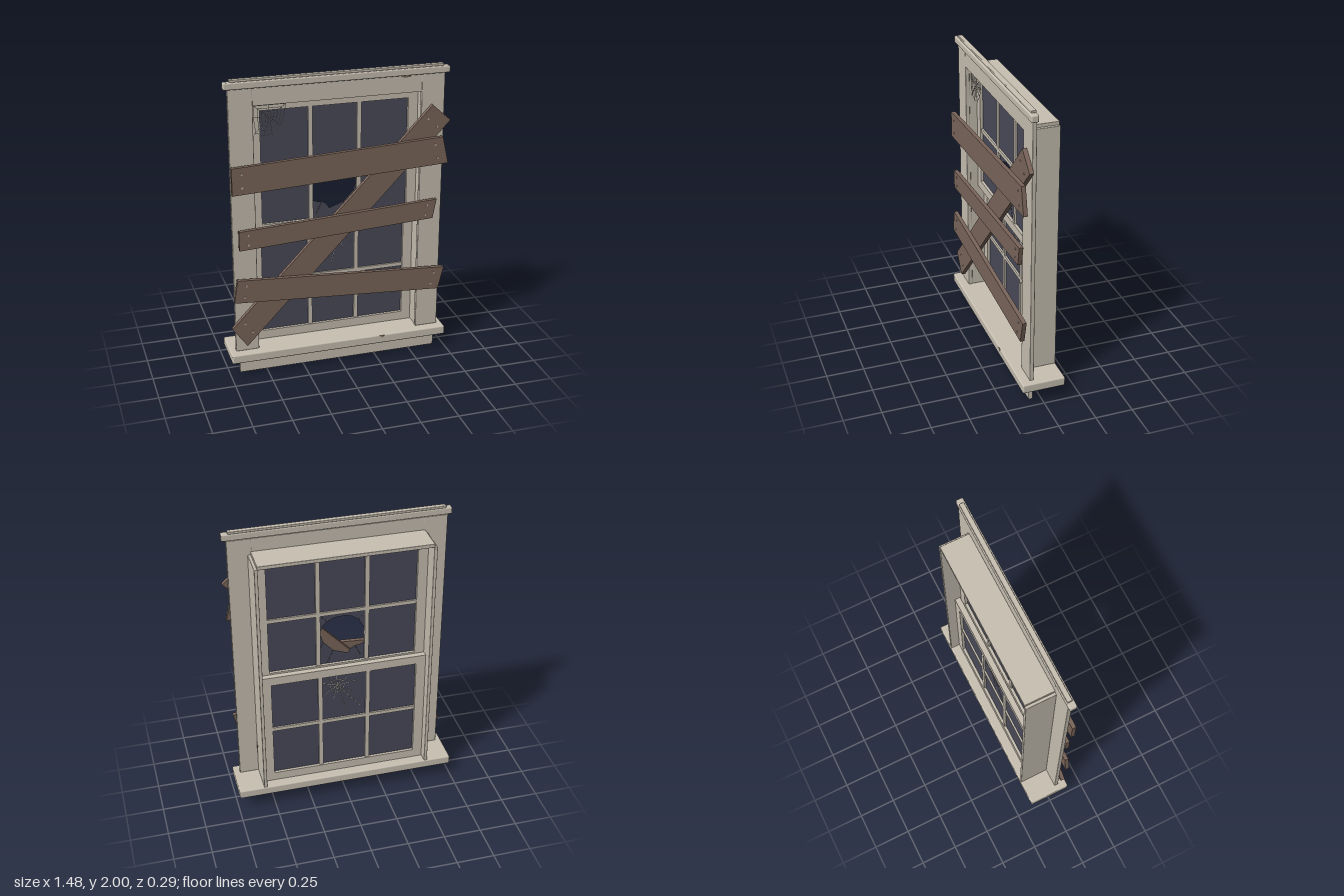
import * as THREE from 'three';
import { RoundedBoxGeometry } from 'three/addons/geometries/RoundedBoxGeometry.js';

const mat = (name, color, side = THREE.FrontSide) => {
  const m = new THREE.MeshStandardMaterial({ color, side });
  m.name = name;
  return m;
};

export function createModel() {
  const root = new THREE.Group();
  root.name = 'boardedWindow';
  const trim = mat('weatheredPaint', 0xc8c0b2);
  const wood = mat('brownWood', 0x7a655a);
  const glass = mat('darkGlass', 0x4a4a5a, THREE.DoubleSide);
  const thread = mat('paleThread', 0xb5b0a8);
  const crackMat = mat('crackLine', 0x5f5e66);
  const steel = mat('nailSteel', 0xb8b0a8);
  const bare = mat('bareWood', 0x7a6553);

  const add = (parent, name, geo, material) => {
    const m = new THREE.Mesh(geo, material);
    m.name = name;
    parent.add(m);
    return m;
  };
  // Box given by its limits, with slightly eased edges when r > 0
  const box = (parent, name, material, [x0, x1], [y0, y1], [z0, z1], r = 0) => {
    const s = [x1 - x0, y1 - y0, z1 - z0];
    const geo = r ? new RoundedBoxGeometry(...s, 2, r) : new THREE.BoxGeometry(...s);
    const m = add(parent, name, geo, material);
    m.position.set((x0 + x1) / 2, (y0 + y1) / 2, (z0 + z1) / 2);
    return m;
  };
  const mirror = ([a, b], s) => (s > 0 ? [a, b] : [-b, -a]);

  // Outer casing, jambs, cap, sill and apron
  for (const s of [1, -1]) {
    box(root, 'casingStile', trim, mirror([0.548, 0.703], s), [0.16, 1.94], [0.055, 0.082], 0.004);
    box(root, 'jambSide', trim, mirror([0.553, 0.575], s), [0.16, 1.83], [-0.142, 0.056], 0.003);
  }
  box(root, 'casingHead', trim, [-0.55, 0.55], [1.825, 1.94], [0.055, 0.08]);
  box(root, 'headJamb', trim, [-0.557, 0.557], [1.827, 1.852], [-0.142, 0.056], 0.003);
  box(root, 'cap', trim, [-0.73, 0.73], [1.94, 1.985], [0.053, 0.1], 0.008);
  box(root, 'capTop', trim, [-0.69, 0.69], [1.984, 2], [0.055, 0.088], 0.004);
  box(root, 'sill', trim, [-0.742, 0.742], [0.098, 0.16], [-0.145, 0.141], 0.01);
  box(root, 'apron', trim, [-0.68, 0.68], [0, 0.1], [0.055, 0.08]);

  // One sash: frame, muntins and a glass sheet with broken openings
  const sash = (name, y0, y1, z, holes) => {
    const g = new THREE.Group();
    g.name = name;
    g.position.z = z;
    root.add(g);
    const d = [-0.019, 0.019], m = [-0.012, 0.012];
    for (const s of [1, -1]) {
      box(g, 'sashStile', trim, mirror([0.488, 0.552], s), [y0, y1], d);
      box(g, 'verticalMuntin', trim, [s * 0.161 - 0.014, s * 0.161 + 0.014], [y0 + 0.06, y1 - 0.06], m);
    }
    box(g, 'bottomRail', trim, [-0.488, 0.488], [y0, y0 + 0.06], d);
    box(g, 'topRail', trim, [-0.488, 0.488], [y1 - 0.06, y1], d);
    const mid = (y0 + y1) / 2;
    box(g, 'crossMuntin', trim, [-0.488, 0.488], [mid - 0.013, mid + 0.013], m);
    const sheet = new THREE.Shape([[-0.49, y0 + 0.05], [0.49, y0 + 0.05], [0.49, y1 - 0.05], [-0.49, y1 - 0.05]]
      .map(p => new THREE.Vector2(...p)));
    for (const h of holes) sheet.holes.push(new THREE.Path(h.map(p => new THREE.Vector2(...p))));
    add(g, 'glassSheet', new THREE.ShapeGeometry(sheet), glass);
    return g;
  };
  const breakHole = [[-0.148, 1.13], [-0.148, 1.235], [-0.11, 1.305], [-0.07, 1.335], [-0.02, 1.35], [0.05, 1.345],
    [0.1, 1.32], [0.128, 1.295], [0.148, 1.24], [0.125, 1.17], [0.06, 1.1], [-0.035, 1.065], [-0.055, 1.095],
    [-0.085, 1.115], [-0.11, 1.115]];
  const upper = sash('upperSash', 0.945, 1.827, -0.016, [breakHole]);
  const lower = sash('lowerSash', 0.16, 0.997, -0.06, []);

  // Fine round strand between two points
  const strand = (parent, name, material, a, b, r = 0.0018) => {
    const dx = b[0] - a[0], dy = b[1] - a[1];
    const m = add(parent, name, new THREE.CylinderGeometry(r, r, Math.hypot(dx, dy), 14), material);
    m.position.set((a[0] + b[0]) / 2, (a[1] + b[1]) / 2, 0);
    m.rotation.z = Math.atan2(dy, dx) - Math.PI / 2;
  };

  // Cracks around the broken pane
  [[[-0.11, 1.305], [-0.147, 1.35]], [[0.1, 1.32], [0.14, 1.365]], [[0.125, 1.17], [0.147, 1.12]],
    [[0.06, 1.1], [0.1, 1.01]], [[-0.085, 1.115], [-0.125, 1.03]]]
    .forEach(([a, b]) => strand(upper, 'paneCrack', crackMat, a, b));

  // Star of cracks in the lower pane
  const hit = [0.045, 0.85];
  const ends = [[0.14, 0.88], [0.12, 0.92], [0.05, 0.93], [-0.03, 0.91], [-0.1, 0.87],
    [-0.06, 0.78], [-0.12, 0.65], [-0.01, 0.66], [0.07, 0.75], [0.13, 0.79]];
  const along = (e, r) => {
    const dx = e[0] - hit[0], dy = e[1] - hit[1], l = Math.hypot(dx, dy);
    return [hit[0] + dx / l * r, hit[1] + dy / l * r];
  };
  ends.forEach((e, i) => {
    strand(lower, 'starCrack', thread, hit, e);
    const n = ends[(i + 1) % ends.length];
    for (const r of [0.025, 0.05]) strand(lower, 'ringCrack', thread, along(e, r), along(n, r));
  });

  // Cobweb in the upper corner
  const web = new THREE.Group();
  web.name = 'cobweb';
  web.position.z = 0.045;
  root.add(web);
  const hub = [-0.435, 1.735];
  const tips = [[-0.32, 1.822], [-0.335, 1.74], [-0.36, 1.67], [-0.42, 1.615], [-0.48, 1.605],
    [-0.535, 1.63], [-0.548, 1.74], [-0.545, 1.822], [-0.44, 1.822]];
  const lerp = (t, k) => [hub[0] + (t[0] - hub[0]) * k, hub[1] + (t[1] - hub[1]) * k];
  tips.forEach((t, i) => {
    strand(web, 'webSpoke', thread, hub, t, 0.0015);
    const n = tips[(i + 1) % tips.length];
    for (const k of [0.25, 0.45, 0.68, 0.9]) strand(web, 'webRing', thread, lerp(t, k), lerp(n, k), 0.0015);
  });

  // Nailed planks: corners run top left, top right, bottom right, bottom left
  const plank = (name, c, z, depth) => {
    const g = new THREE.Group();
    g.name = name;
    g.position.z = z;
    root.add(g);
    const shape = new THREE.Shape(c.map(p => new THREE.Vector2(...p)));
    add(g, 'plank', new THREE.ExtrudeGeometry(shape, { depth, bevelEnabled: false }), wood);
    for (const u of [0.045, 0.955]) for (const v of [0.25, 0.75]) {
      const at = k => (c[0][k] * (1 - u) + c[1][k] * u) * (1 - v) + (c[3][k] * (1 - u) + c[2][k] * u) * v;
      const nail = add(g, 'nailHead', new THREE.CylinderGeometry(0.007, 0.007, 0.004, 10), steel);
      nail.rotation.x = Math.PI / 2;
      nail.position.set(at(0), at(1), depth + 0.001);
    }
  };
  plank('diagonalPlank', [[-0.728, 0.34], [0.615, 1.74], [0.738, 1.63], [-0.632, 0.205]], 0.084, 0.028);
  plank('upperPlank', [[-0.705, 1.455], [0.68, 1.53], [0.72, 1.35], [-0.705, 1.275]], 0.113, 0.027);
  plank('middlePlank', [[-0.67, 1.03], [0.65, 1.105], [0.625, 0.975], [-0.67, 0.9]], 0.113, 0.027);
  plank('lowerPlank', [[-0.69, 0.695], [0.718, 0.61], [0.68, 0.455], [-0.715, 0.54]], 0.113, 0.027);

  // Chipped paint patches
  const chip = (name, pts) => add(root, name, new THREE.ExtrudeGeometry(
    new THREE.Shape(pts.map(p => new THREE.Vector2(...p))), { depth: 0.002, bevelEnabled: false }), bare);
  chip('sillChip', [[0.27, 0.156], [0.285, 0.146], [0.295, 0.138], [0.3, 0.15], [0.312, 0.156]]).position.z = 0.1405;
  chip('headChip', [[0.41, 1.932], [0.43, 1.924], [0.47, 1.927], [0.47, 1.934]]).position.z = 0.0795;
  const sideChip = chip('jambChip', [[-0.054, 0.31], [-0.04, 0.33], [-0.032, 0.36], [-0.038, 0.39], [-0.054, 0.41]]);
  sideChip.rotation.y = Math.PI / 2;
  sideChip.position.x = 0.5745;

  return root;
}
